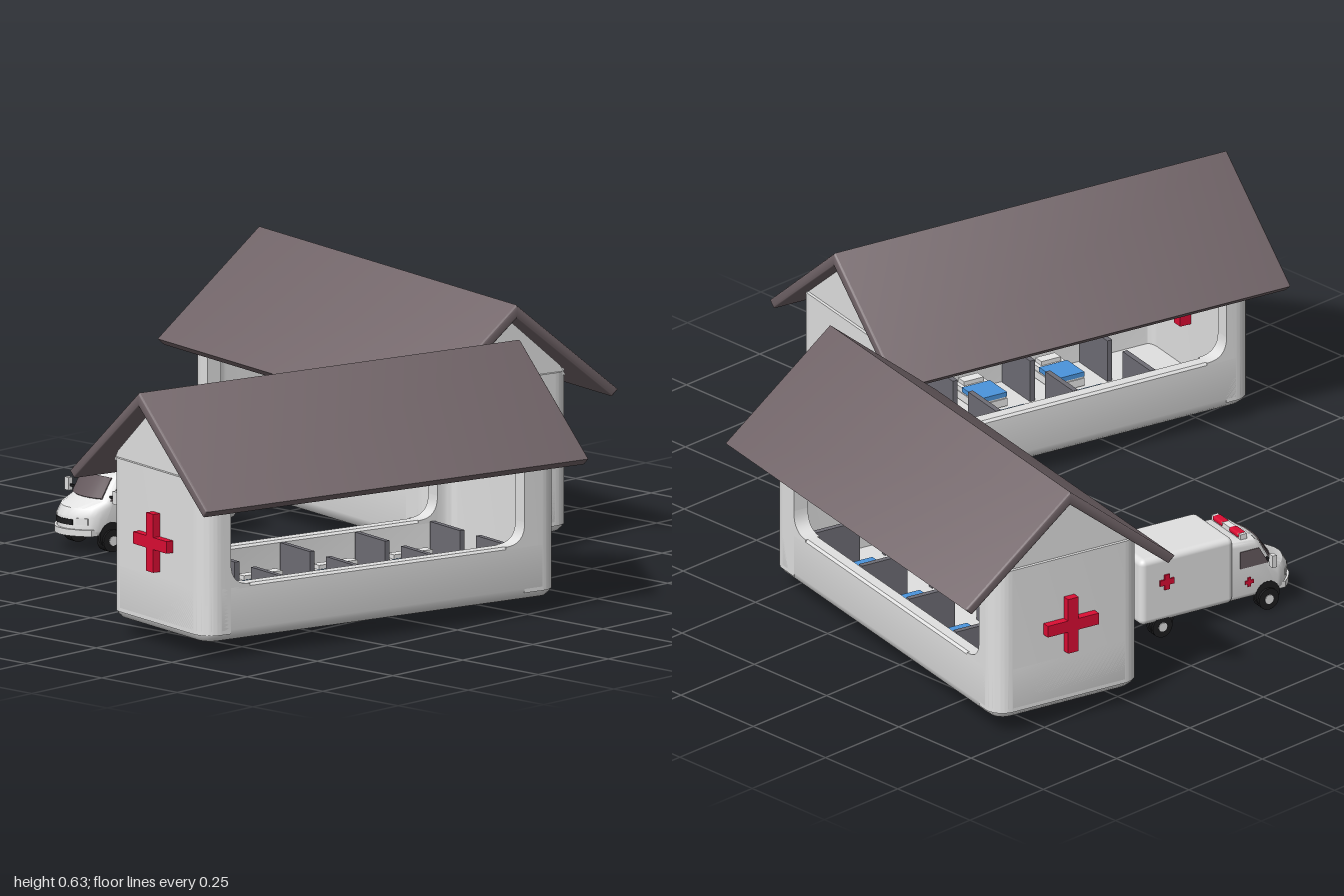
import * as THREE from 'three';
import { toCreasedNormals } from 'three/addons/utils/BufferGeometryUtils.js';
import { RoundedBoxGeometry } from 'three/addons/geometries/RoundedBoxGeometry.js';

const mat = (name, color) => {
  const m = new THREE.MeshStandardMaterial({ color });
  m.name = name;
  return m;
};
const WALL = mat('wall grey', 0xe1e1e1), ROOF = mat('roof brown', 0x726569), RED = mat('cross red', 0xdb0d33);
const FLOOR = mat('underside grey', 0x7c7b83), PART = mat('partition grey', 0x6e6d75), BLUE = mat('blanket blue', 0x4a94dc);
const WHITE = mat('linen white', 0xf2f2f2), GLASS = mat('glass', 0x665a5e), BLACK = mat('tyre black', 0x1c1c1e);

function add(parent, name, geo, material, x = 0, y = 0, z = 0) {
  const m = new THREE.Mesh(geo, material);
  m.name = name;
  m.position.set(x, y, z);
  parent.add(m);
  return m;
}
const box = (w, h, d, segments = 1) => new THREE.BoxGeometry(w, h, d, 1, 1, segments);
const poly = pts => new THREE.Shape(pts.map(p => new THREE.Vector2(p[0], p[1])));

// extrude along z, centred, with an optional small rounded edge
function extrude(shape, depth, bevel = 0, steps = 1) {
  const g = new THREE.ExtrudeGeometry(shape, {
    depth: depth - 2 * bevel, bevelEnabled: bevel > 0, bevelSize: bevel, bevelThickness: bevel,
    bevelOffset: -bevel, bevelSegments: 3, curveSegments: 8, steps
  });
  g.translate(0, 0, bevel - depth / 2);
  return toCreasedNormals(g, 0.6);
}

// sweep a profile of [inset, y] around a rounded rectangle
function sweepRect(hx, hz, r, profile) {
  const pos = [], idx = [], seg = 6, n = 4 * (seg + 1);
  for (const [inset, y] of profile) {
    const rr = Math.max(r - inset, 0.015);
    for (let c = 0; c < 4; c++) {
      const sx = c === 0 || c === 3 ? 1 : -1, sz = c < 2 ? 1 : -1;
      for (let s = 0; s <= seg; s++) {
        const a = (c + s / seg) * Math.PI / 2;
        pos.push(sx * (hx - inset - rr) + rr * Math.cos(a), y, sz * (hz - inset - rr) + rr * Math.sin(a));
      }
    }
  }
  for (let i = 0; i < profile.length - 1; i++) {
    for (let j = 0; j < n; j++) {
      const a = i * n + j, b = i * n + (j + 1) % n;
      idx.push(a, a + n, b, a + n, b + n, b);
    }
  }
  const g = new THREE.BufferGeometry();
  g.setAttribute('position', new THREE.Float32BufferAttribute(pos, 3));
  g.setIndex(idx);
  return toCreasedNormals(g, 0.7);
}

const HX = 0.52, HZ = 0.209, R = 0.05, T = 0.06, S = 0.04, SILL = 0.18;

// plan of an end wall with two corner columns that stop at x = open
function endWallShape(open) {
  const s = new THREE.Shape(), xi = HX - T, zi = HZ - S, q = 0.03;
  s.moveTo(open, -HZ);
  s.lineTo(HX - R, -HZ);
  s.absarc(HX - R, -HZ + R, R, -Math.PI / 2, 0, false);
  s.absarc(HX - R, HZ - R, R, 0, Math.PI / 2, false);
  s.lineTo(open, HZ);
  s.lineTo(open, zi);
  s.quadraticCurveTo(xi, zi, xi, zi - q);
  s.lineTo(xi, -zi + q);
  s.quadraticCurveTo(xi, -zi, open, -zi);
  return s;
}

// curved corner between column and sill
function filletShape(open) {
  const s = new THREE.Shape(), f = 0.055;
  s.moveTo(open + 0.005, SILL - 0.01);
  s.lineTo(open + 0.005, SILL + f);
  s.lineTo(open, SILL + f);
  s.quadraticCurveTo(open, SILL, open - f, SILL);
  s.lineTo(open - f, SILL - 0.01);
  return s;
}

function roundedRect(hx, hz, r) {
  const s = new THREE.Shape();
  s.absarc(hx - r, hz - r, r, 0, Math.PI / 2, false);
  s.absarc(r - hx, hz - r, r, Math.PI / 2, Math.PI, false);
  s.absarc(r - hx, r - hz, r, Math.PI, Math.PI * 1.5, false);
  s.absarc(hx - r, r - hz, r, Math.PI * 1.5, Math.PI * 2, false);
  return s;
}

function redCross(parent, span, arm, depth, x, y, z, sideways = false) {
  const g = new THREE.Group();
  g.name = 'redCross';
  add(g, 'upright', box(depth, span, arm), RED);
  add(g, 'crossbar', box(depth, arm, span), RED);
  g.position.set(x, y, z);
  if (sideways) g.rotation.y = Math.PI / 2;
  parent.add(g);
}

function pavilion() {
  const g = new THREE.Group(), body = new THREE.Group();
  g.name = 'wardPavilion';
  body.name = 'wardBody';
  body.position.z = 0.02;
  g.add(body);

  // tub with rounded bottom edge
  add(body, 'lowerWalls', sweepRect(HX, HZ, R, [[0.05, 0.055], [0.05, 0.04], [0.03, 0.04], [0.015, 0.044], [0.005, 0.053],
    [0, 0.07], [0, SILL - 0.006], [0.006, SILL], [S - 0.006, SILL], [S, SILL - 0.006], [S, 0.06]]), WALL);
  add(body, 'floor', box(2 * HX - 0.06, 0.022, 2 * HZ - 0.06), WALL, 0, 0.055, 0);
  add(body, 'underside', extrude(roundedRect(HX - 0.065, HZ - 0.06, 0.03), 0.008).rotateX(-Math.PI / 2), FLOOR, 0, 0.044, 0);

  // end walls, gables and crosses; the far end's cross passes through the wall
  const gable = extrude(poly([[-0.195, 0.43], [0.195, 0.43], [0.18, 0.455], [0, 0.61], [-0.18, 0.455]]), T - 0.01);
  const ends = [{ turn: 0, open: 0.418, depth: 0.04, at: HX }, { turn: Math.PI, open: 0.443, depth: 0.11, at: HX - 0.035 }];
  for (const { turn, open, depth, at } of ends) {
    const end = new THREE.Group(), fillet = extrude(filletShape(open), S);
    end.name = 'end';
    end.rotation.y = turn;
    add(end, 'endWall', extrude(endWallShape(open), 0.38).rotateX(-Math.PI / 2), WALL, 0, 0.25, 0);
    add(end, 'gable', gable, WALL, HX - T / 2 - 0.003, 0, 0).rotation.y = Math.PI / 2;
    for (const s of [-1, 1]) add(end, 'sillCurve', fillet, WALL, 0, 0, s * (HZ - S / 2));
    redCross(end, 0.145, 0.03, depth, at, 0.262, 0);
    body.add(end);
  }

  // three curtained bays on each side of the aisle
  for (const s of [-1, 1]) {
    for (let i = 0; i < 4; i++) add(body, 'partition', box(0.014, 0.11, 0.13), PART, -0.26 + i * 0.22, 0.12, s * 0.1);
    for (let i = 0; i < 3; i++) {
      const bed = new THREE.Group();
      bed.name = 'bed';
      bed.position.set(-0.15 + i * 0.22, 0, s * 0.1);
      add(bed, 'bedFrame', box(0.08, 0.02, 0.125), WHITE, 0, 0.08, 0);
      add(bed, 'mattress', box(0.076, 0.014, 0.12), WHITE, 0, 0.096, 0);
      add(bed, 'blanket', box(0.08, 0.012, 0.08), BLUE, 0, 0.1, -s * 0.021);
      add(bed, 'pillow', box(0.055, 0.012, 0.028), WHITE, 0, 0.108, s * 0.042);
      add(bed, 'bedsideTable', box(0.03, 0.05, 0.03), WHITE, 0.07, 0.09, s * 0.04);
      body.add(bed);
    }
  }

  // pitched roof
  const roof = poly([[0, 0.632], [-0.298, 0.388], [-0.28, 0.372], [0, 0.598], [0.28, 0.372], [0.298, 0.388]]);
  add(g, 'roof', extrude(roof, 1.122, 0.006), ROOF).rotation.y = Math.PI / 2;
  return g;
}

// curve the front of the cab back towards its sides
function roundNose(geo) {
  const p = geo.attributes.position;
  for (let i = 0; i < p.count; i++) {
    const w = THREE.MathUtils.clamp((-0.1 - p.getX(i)) / 0.13, 0, 1);
    p.setX(i, p.getX(i) + 0.05 * w * (p.getZ(i) / 0.08) ** 2);
  }
  return toCreasedNormals(geo, 0.6);
}

function ambulance() {
  const g = new THREE.Group();
  g.name = 'ambulance';
  add(g, 'rearBox', new RoundedBoxGeometry(0.265, 0.176, 0.18, 3, 0.016), WALL, 0.09, 0.13, 0);
  const cab = poly([[-0.03, 0.04], [-0.215, 0.04], [-0.235, 0.05], [-0.235, 0.088], [-0.222, 0.108], [-0.18, 0.124],
    [-0.137, 0.18], [-0.115, 0.194], [-0.03, 0.198]]);
  add(g, 'cab', roundNose(extrude(cab, 0.162, 0.014, 8)), WALL);
  add(g, 'bumper', roundNose(box(0.02, 0.016, 0.15, 8).translate(-0.232, 0.05, 0)), WALL);
  add(g, 'grille', roundNose(box(0.006, 0.014, 0.07, 6).translate(-0.234, 0.075, 0)), BLACK);

  // windscreen follows the cab slope
  const screen = box(0.062, 0.006, 0.126, 8).rotateZ(Math.atan2(0.056, 0.043)).translate(-0.158, 0.153, 0);
  add(g, 'windscreen', roundNose(screen), GLASS);

  for (const s of [-1, 1]) {
    add(g, 'headlamp', roundNose(box(0.006, 0.016, 0.024, 2).translate(-0.234, 0.078, s * 0.054)), WHITE);
    const win = extrude(poly([[-0.145, 0.125], [-0.118, 0.17], [-0.065, 0.17], [-0.065, 0.125]]), 0.006);
    add(g, 'sideWindow', win, GLASS, 0, 0, s * 0.08);
    add(g, 'mirrorArm', box(0.006, 0.006, 0.03), BLACK, -0.142, 0.135, s * 0.09);
    add(g, 'mirror', box(0.012, 0.032, 0.016), WALL, -0.144, 0.138, s * 0.104);
    add(g, 'roofLamp', new RoundedBoxGeometry(0.024, 0.014, 0.045, 2, 0.006), RED, -0.083, 0.204, s * 0.038);
    redCross(g, 0.04, 0.015, 0.008, 0.15, 0.148, s * 0.09, true);
    redCross(g, 0.024, 0.009, 0.008, -0.09, 0.085, s * 0.08, true);
    for (const x of [-0.143, 0.16]) {
      add(g, 'wheelArch', new THREE.CylinderGeometry(0.034, 0.034, 0.01, 20), BLACK, x, 0.04, s * 0.077).rotation.x = Math.PI / 2;
      add(g, 'tyre', new THREE.CylinderGeometry(0.028, 0.028, 0.03, 20), BLACK, x, 0.028, s * 0.073).rotation.x = Math.PI / 2;
      add(g, 'hub', new THREE.CylinderGeometry(0.012, 0.012, 0.006, 12), WALL, x, 0.028, s * 0.087).rotation.x = Math.PI / 2;
    }
  }
  add(g, 'lightBar', box(0.018, 0.014, 0.135), WHITE, -0.083, 0.202, 0);
  redCross(g, 0.036, 0.012, 0.008, 0.222, 0.105, 0);
  return g;
}

export function createModel() {
  const model = new THREE.Group(), tilt = -0.228;
  model.name = 'fieldHospital';
  const place = (part, x, z, angle) => {
    part.position.set(x, 0, z);
    part.rotation.y = angle;
    model.add(part);
  };
  place(pavilion(), -0.384, 0.45, tilt);
  place(pavilion(), 0.58, -0.251, tilt - Math.PI / 2);
  place(ambulance(), 0.01, -0.537, tilt);
  return model;
}
